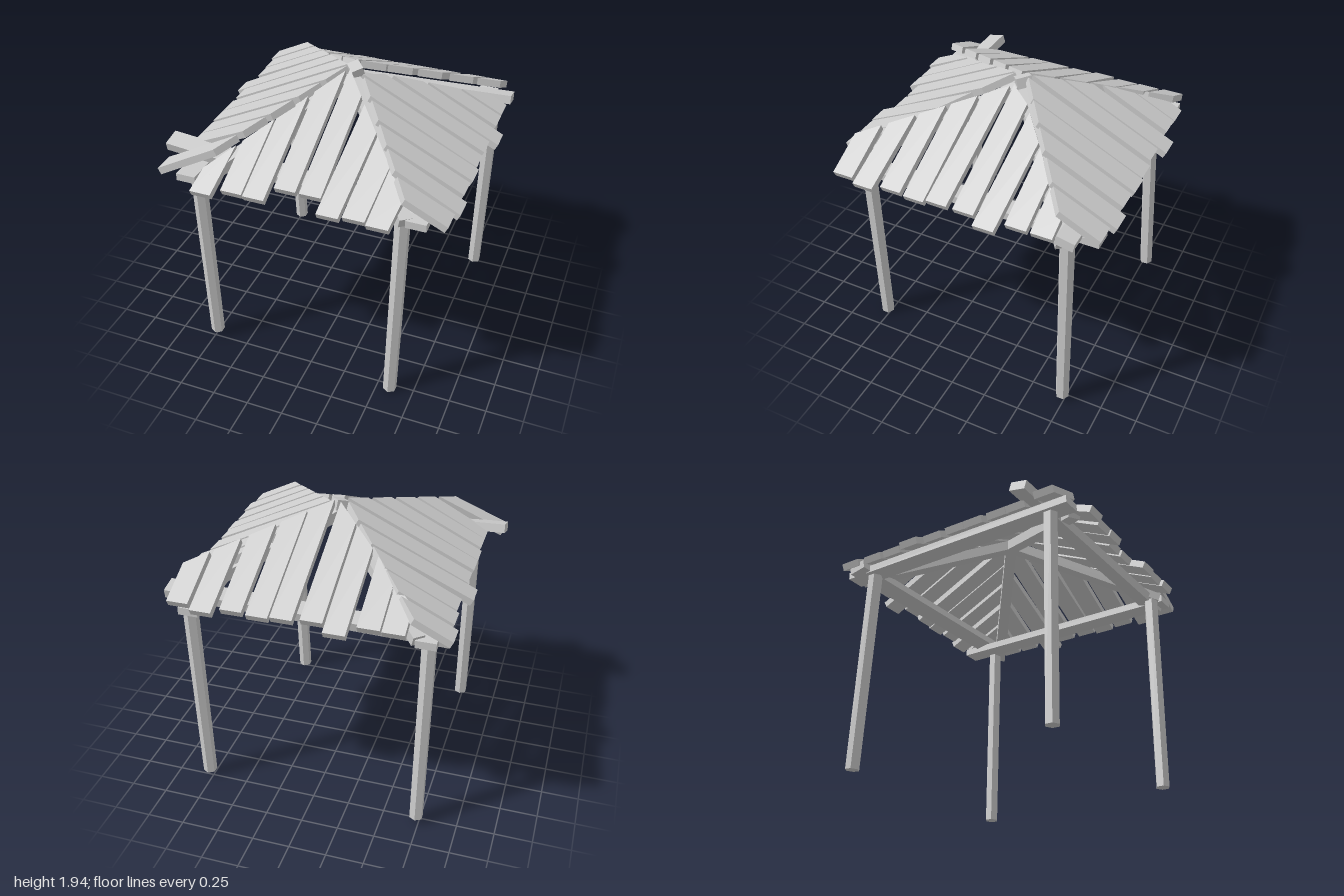
import * as THREE from 'three';

const material = new THREE.MeshStandardMaterial({ color: 0xcccccc, flatShading: true });
const V = (p) => new THREE.Vector3(...p);

function addMesh(parent, geometry, name) {
  const mesh = new THREE.Mesh(geometry, material);
  mesh.name = name;
  parent.add(mesh);
  return mesh;
}

// Rectangular timber running from a to b
function beam(parent, name, a, b, width, height, roll = 0) {
  const mesh = addMesh(parent, new THREE.BoxGeometry(width, height, V(a).distanceTo(V(b))), name);
  mesh.position.copy(V(a)).lerp(V(b), 0.5);
  mesh.lookAt(V(b));
  mesh.rotateZ(roll);
}

// Six-sided post running from its foot to its head
function post(parent, name, foot, head) {
  const axis = V(head).sub(V(foot));
  const mesh = addMesh(parent, new THREE.CylinderGeometry(0.05, 0.047, axis.length(), 6), name);
  mesh.position.copy(V(foot)).lerp(V(head), 0.5);
  mesh.quaternion.setFromUnitVectors(new THREE.Vector3(0, 1, 0), axis.normalize());
}

// Plank: a box whose corners are moved onto the roof slope, inner end cut along the hip.
// s runs along the eave, t runs outwards from the peak.
function plankGeometry({ place, turn, top, hip }, centre, reach, lean) {
  const pitch = 0.49, halfWidth = 0.07, thickness = 0.042;
  const geometry = new THREE.BoxGeometry(1, 1, 1);
  const pos = geometry.attributes.position;
  for (let i = 0; i < pos.count; i++) {
    const outer = pos.getZ(i) > 0;
    const s = centre + (outer ? 0 : lean) + Math.sign(pos.getX(i)) * turn * halfWidth;
    const cut = hip.t + Math.abs(s - hip.s) * (s < hip.s ? hip.low : hip.high);
    let t = outer ? reach : cut;
    let y = top - pitch * t;
    if (pos.getY(i) < 0) {
      y -= thickness;
      t -= thickness * pitch;
    }
    pos.setXYZ(i, ...place(s, y, t));
  }
  geometry.computeVertexNormals();
  return geometry;
}

// One roof side; each plank is [centre along the eave, reach, sideways lean of the inner end]
function roofSide(parent, name, side, planks) {
  const group = new THREE.Group();
  group.name = name;
  for (const [centre, reach, lean = 0] of planks) {
    addMesh(group, plankGeometry(side, centre, reach, lean), 'roofPlank');
  }
  parent.add(group);
}

export function createModel() {
  const model = new THREE.Group();
  model.name = 'pavilion';

  // Leaning posts
  post(model, 'frontLeftPost', [0.59, 0.01, 0.78], [0.63, 1.43, 0.77]);
  post(model, 'backLeftPost', [0.78, 0.04, -0.73], [0.81, 1.46, -0.73]);
  post(model, 'frontRightPost', [-0.74, 0.05, 0.72], [-0.75, 1.47, 0.74]);
  post(model, 'backRightPost', [-0.73, 0.05, -0.78], [-0.74, 1.46, -0.69]);

  // Eave beams
  beam(model, 'frontBeam', [-0.98, 1.55, 0.645], [0.78, 1.45, 0.73], 0.12, 0.06, 0.25);
  beam(model, 'backBeam', [-0.88, 1.46, -0.74], [0.93, 1.51, -0.76], 0.12, 0.06, -0.2);
  beam(model, 'leftBeam', [0.73, 1.455, 0.84], [0.73, 1.455, -0.92], 0.13, 0.05);
  beam(model, 'rightBeam', [-0.75, 1.46, 0.89], [-0.75, 1.46, -0.87], 0.13, 0.05);

  // Hip rafters meeting at the peak
  const peak = [0.01, 1.85, -0.05];
  beam(model, 'frontLeftRafter', [0.66, 1.45, 0.82], peak, 0.08, 0.07);
  beam(model, 'frontRightRafter', [-0.62, 1.48, 0.84], peak, 0.08, 0.07);
  beam(model, 'backRightRafter', [-0.7, 1.47, -0.84], peak, 0.08, 0.07);
  beam(model, 'backLeftRafter', [0.86, 1.43, -0.72], peak, 0.08, 0.07);
  const cap = addMesh(model, new THREE.BoxGeometry(0.08, 0.07, 0.1), 'peakBlock');
  cap.position.set(0.02, 1.9, -0.06);
  cap.rotation.set(0.2, 0.7, 0.15);

  // Planked roof sides, each with its own height and hip lines
  roofSide(model, 'frontRoof', {
    place: (s, y, t) => [s, y, t], turn: 1, top: 1.94, hip: { s: 0, t: 0, low: 1.28, high: 1.22 },
  }, [[-0.6, 0.99, 0.02], [-0.41, 0.945], [-0.26, 0.95], [-0.09, 0.86], [0.075, 0.86],
    [0.22, 0.955, 0.035], [0.38, 0.94, 0.03], [0.53, 0.955, 0.025]]);
  roofSide(model, 'backRoof', {
    place: (s, y, t) => [s, y, -t], turn: -1, top: 2.0, hip: { s: 0.02, t: 0.09, low: 1, high: 0.72 },
  }, [[-0.57, 0.93], [-0.42, 0.925], [-0.23, 0.99], [-0.075, 0.935], [0.11, 0.95],
    [0.26, 0.96], [0.43, 0.95], [0.615, 0.985], [0.78, 0.95]]);
  roofSide(model, 'leftRoof', {
    place: (s, y, t) => [t, y, s], turn: -1, top: 1.94, hip: { s: -0.06, t: 0.06, low: 1.18, high: 0.67 },
  }, [[-0.605, 0.91], [-0.44, 0.91], [-0.255, 0.97, -0.02], [-0.095, 0.915], [0.09, 0.915, -0.02],
    [0.24, 0.93], [0.41, 0.92], [0.595, 0.95, -0.02], [0.757, 0.92]]);
  roofSide(model, 'rightRoof', {
    place: (s, y, t) => [-t, y, s], turn: 1, top: 1.95, hip: { s: -0.04, t: 0.02, low: 0.8, high: 0.66 },
  }, [[-0.785, 0.91], [-0.615, 0.88], [-0.46, 0.865], [-0.26, 0.93, -0.04], [-0.11, 0.865, -0.02],
    [0.075, 0.87, -0.03], [0.22, 0.87], [0.395, 0.86], [0.54, 0.86, 0.025], [0.805, 0.955, -0.065]]);

  return model;
}
